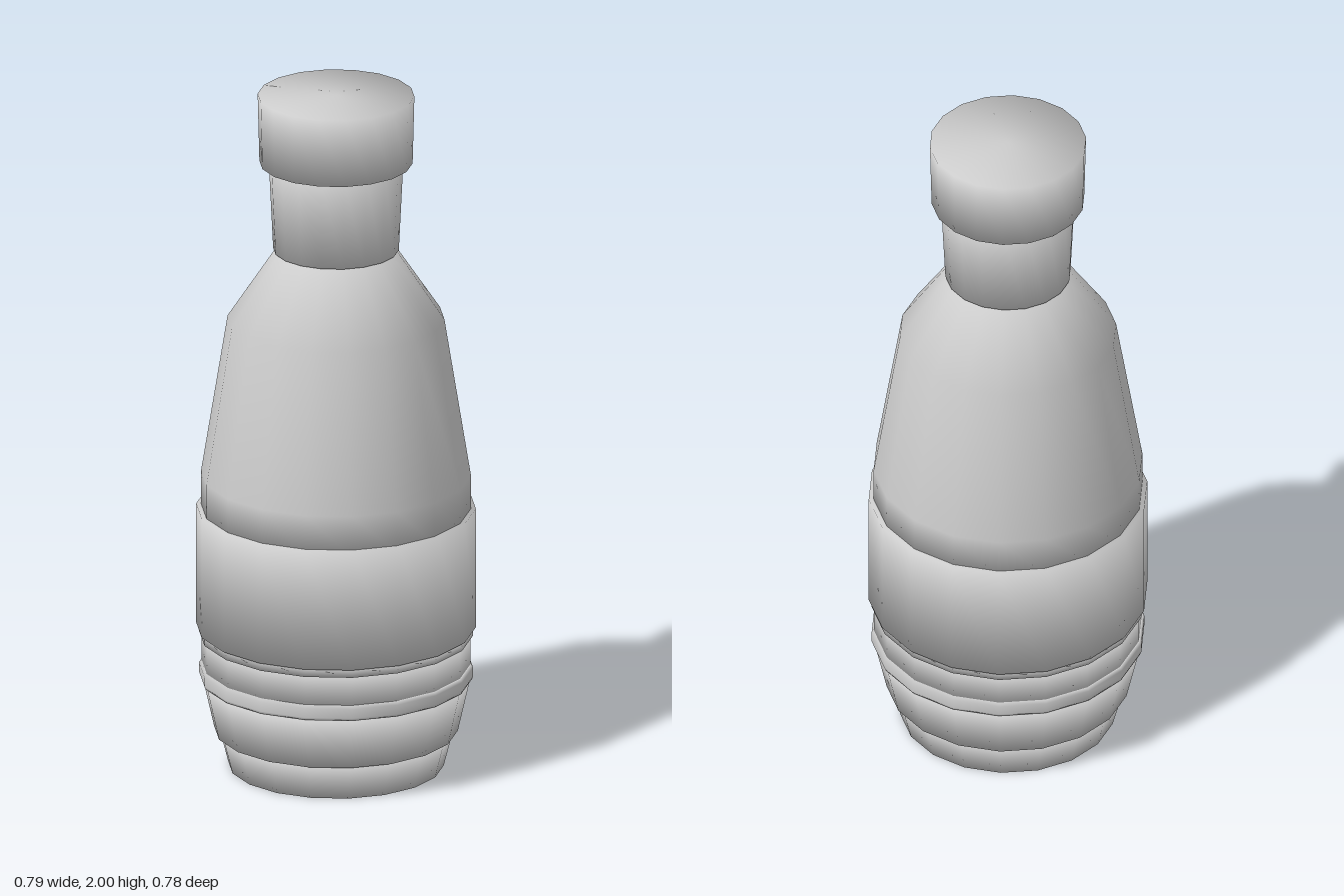
import * as THREE from 'three';

const SIDES = 18;

export function createModel() {
  const model = new THREE.Group();
  const material = new THREE.MeshStandardMaterial({ color: 0xcccccc });

  // Turned part from a bottom-to-top [radius, height] profile, closed on the axis
  function turned(name, profile) {
    const points = [[0, profile[0][1]], ...profile, [0, profile[profile.length - 1][1]]]
      .map(([r, y]) => new THREE.Vector2(r, y));
    // Start on the x axis so a corner of the polygon lies on each side
    const mesh = new THREE.Mesh(new THREE.LatheGeometry(points, SIDES, Math.PI / 2), material);
    mesh.name = name;
    model.add(mesh);
  }

  // Tapered foot and lower shell
  turned('base', [[0.305, 0], [0.333, 0.11]]);
  turned('lowerShell', [[0.345, 0.105], [0.38, 0.26]]);

  // Raised ring, recessed waist and lip beneath the wide band
  turned('ring', [[0.385, 0.26], [0.388, 0.268], [0.388, 0.295], [0.382, 0.305]]);
  turned('waist', [[0.381, 0.29], [0.381, 0.395]]);
  turned('bandLip', [[0.388, 0.39], [0.388, 0.42]]);
  turned('wideBand', [[0.396, 0.415], [0.396, 0.77]]);

  // Tapering body with sloped shoulder
  turned('body', [[0.382, 0.75], [0.382, 0.87], [0.307, 1.335], [0.17, 1.54]]);

  // Flared neck and cap
  turned('neck', [[0.178, 1.54], [0.191, 1.81]]);
  turned('cap', [[0.217, 1.8], [0.222, 2]]);

  return model;
}
